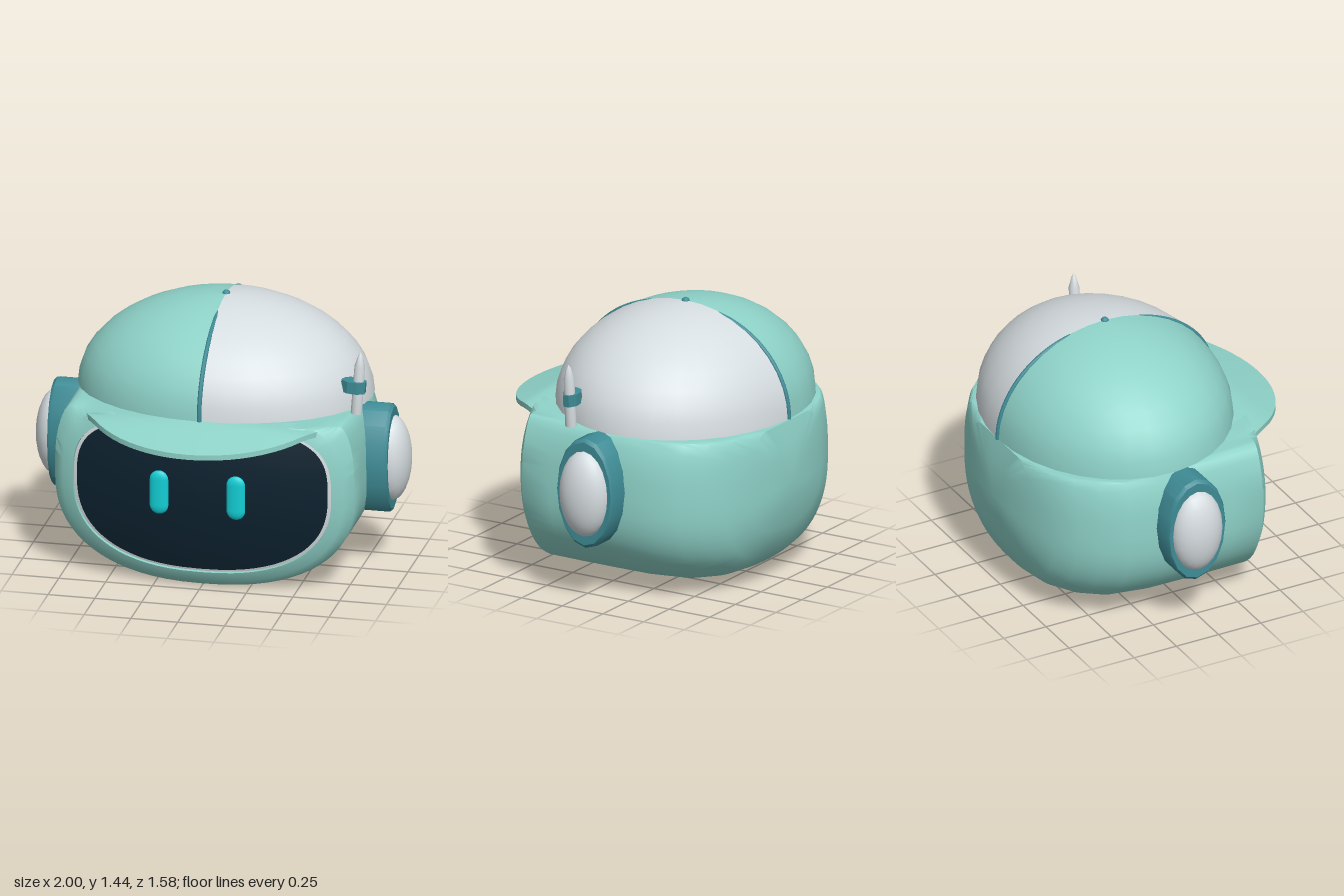
import * as THREE from 'three';
import { toCreasedNormals } from 'three/addons/utils/BufferGeometryUtils.js';

const material = (name, color, side = THREE.FrontSide) => {
  const m = new THREE.MeshStandardMaterial({ color, side });
  m.name = name;
  return m;
};

// Height of the cap's lower edge, and the bowed surface of the face
const rimY = (z) => 0.912 + 0.043 * z;
const faceZ = (x, y) => 0.54 - 0.245 * x * x - 0.33 * (y - 0.6) ** 2;

// Superellipse outline around y = 0.55 with separate lower and upper heights
function outline(a, rx, bottom, top) {
  const c = Math.cos(a), s = Math.sin(a);
  const n = s > 0 ? 3 : 2.5;
  const pow = (v) => Math.sign(v) * Math.abs(v) ** (2 / n);
  return [rx * pow(c), 0.55 + pow(s) * (s > 0 ? top : bottom)];
}

// Skin over rows of closed loops; f(i, j) gives a point
function loft(n, rows, f) {
  const pos = [], index = [];
  for (let j = 0; j < rows; j++) for (let i = 0; i < n; i++) pos.push(...f(i, j));
  for (let j = 0; j < rows - 1; j++) for (let i = 0; i < n; i++) {
    const k = (i + 1) % n, a = j * n + i, b = j * n + k, c = a + n, d = b + n;
    index.push(a, c, b, b, c, d);
  }
  const g = new THREE.BufferGeometry();
  g.setAttribute('position', new THREE.Float32BufferAttribute(pos, 3));
  g.setIndex(index);
  g.computeVertexNormals();
  return g;
}

export function createModel() {
  const model = new THREE.Group();
  model.name = 'robotHeadWithCap';
  const mint = material('mint', 0x8fd3c9, THREE.DoubleSide);
  const white = material('white', 0xd6dde0, THREE.DoubleSide);
  const teal = material('teal', 0x3f8c96);
  const dark = material('visorNavy', 0x0d2230);
  const cyan = material('eyeCyan', 0x12cfd6);

  const add = (name, geometry, mat, parent = model) => {
    const mesh = new THREE.Mesh(geometry, mat);
    mesh.name = name;
    parent.add(mesh);
    return mesh;
  };

  // Head shell: bowed rim rows (offset from the face), then rows at fixed z
  const N = 72;
  const rim = [
    [-0.03, 0.685, 0.46, 0.375], [0.015, 0.69, 0.465, 0.38],
    [0.012, 0.75, 0.515, 0.45], [-0.01, 0.8, 0.548, 0.6],
  ];
  const body = [
    [0.2, 0.8, 0.55, 0.6], [0, 0.8, 0.55, 0.6], [-0.2, 0.795, 0.55, 0.6],
    [-0.4, 0.76, 0.54, 0.58], [-0.52, 0.69, 0.515, 0.55], [-0.62, 0.6, 0.47, 0.5],
    [-0.69, 0.5, 0.41, 0.45], [-0.75, 0.34, 0.26, 0.35], [-0.78, 0.17, 0.12, 0.2],
    [-0.79, 0, 0, 0],
  ];
  const rows = [...rim, ...body];
  const head = loft(N, rows.length, (i, j) => {
    const [d, ...size] = rows[j];
    const [x, y] = outline((i / N) * Math.PI * 2, ...size);
    const z = j < rim.length ? faceZ(x, y) + d : d;
    return [x, Math.min(y, rimY(z) - 0.015), z];
  });
  add('headShell', toCreasedNormals(head, 0.9), mint);

  // Visor glass and its pale border, both on the bowed face
  const facePatch = (from, to, offset, steps) => loft(N, steps + 1, (i, j) => {
    const s = from + ((to - from) * j) / steps;
    const [x, y] = outline((i / N) * Math.PI * 2, 0.67 * s, 0.45 * s, 0.365 * s);
    return [x, y, faceZ(x, y) + offset];
  });
  add('visor', facePatch(0, 1, 0, 8), dark);
  add('visorBorder', facePatch(0.98, 1.035, -0.004, 1), white);

  // Eyes
  for (const side of [-1, 1]) {
    const eye = new THREE.CapsuleGeometry(0.05, 0.14, 6, 16).scale(1, 1, 0.42);
    add(side > 0 ? 'leftEye' : 'rightEye', eye, cyan).position.set(side * 0.205, 0.54, 0.543);
  }

  // Cap: two half domes with a sloping lower edge
  const cap = new THREE.Group();
  cap.name = 'cap';
  model.add(cap);
  const halfDome = (start) => {
    const g = new THREE.SphereGeometry(1, 16, 10, start, Math.PI, 0, Math.PI / 2);
    const p = g.attributes.position;
    for (let i = 0; i < p.count; i++) {
      const h = p.getY(i), z = -0.13 + 0.635 * p.getZ(i);
      const low = rimY(z);
      p.setXYZ(i, 0.78 * p.getX(i), low + h * (1.42 - low), z);
    }
    g.computeVertexNormals();
    return g;
  };
  add('capLeftHalf', halfDome(Math.PI / 2), white, cap);
  add('capRightHalf', halfDome(-Math.PI / 2), mint, cap);

  // Seam strips, sinking into the dome before they reach the button
  for (const side of [-1, 1]) {
    const points = [];
    for (let k = 0; k <= 10; k++) {
      const a = (k / 10) * 1.25, z = -0.13 + side * 0.635 * Math.cos(a);
      const low = rimY(z), sink = 0.012 * (k / 10) ** 3;
      points.push(new THREE.Vector3(0, low + Math.sin(a) * (1.42 - low) - sink, z));
    }
    const path = new THREE.CatmullRomCurve3(points);
    add(side > 0 ? 'frontSeam' : 'backSeam', new THREE.TubeGeometry(path, 24, 0.012, 8), teal, cap);
  }
  add('capButton', new THREE.SphereGeometry(0.022, 12, 8), teal, cap).position.set(0, 1.415, -0.13);

  // Brim: crescent between the dome and a wider arc, drooping forward
  const steps = 32, V = 6;
  const brim = loft(2 * (V + 1), steps + 1, (i, j) => {
    const u = (j / steps) * 2 - 1;
    const top = i <= V, v = top ? 1 - i / V : (i - V - 1) / V;
    const a = u * 1.29;
    const outX = 0.71 * Math.sin(a), outZ = 0.07 + 0.715 * Math.cos(a);
    const inX = outX * 0.97;
    const inZ = -0.13 + 0.62 * Math.sqrt(1 - (inX / 0.78) ** 2);
    const x = inX + (outX - inX) * v, z = inZ + (outZ - inZ) * v;
    const y = 0.937 - 0.3 * Math.max(0, z - 0.5) - 0.1 * x * x;
    return [x, top ? y : y - 0.028, z];
  });
  add('brim', toCreasedNormals(brim, 0.7), mint, cap);

  // Ears: oval hubs with pale domed covers
  for (const side of [-1, 1]) {
    const ear = new THREE.Group();
    ear.name = side > 0 ? 'leftEar' : 'rightEar';
    ear.position.set(side * 0.7, 0.6, -0.075);
    ear.rotation.z = -side * Math.PI / 2;
    model.add(ear);
    const profile = [[0.001, 0], [1, 0], [1, 0.19], [0.94, 0.207], [0.78, 0.207], [0.001, 0.2]];
    const hub = new THREE.LatheGeometry(profile.map(([r, h]) => new THREE.Vector2(r, h)), 16);
    hub.scale(0.3, 1, 0.175);
    add('earHub', toCreasedNormals(hub, 0.75), teal, ear);
    const cover = new THREE.SphereGeometry(1, 20, 8, 0, Math.PI * 2, 0, Math.PI / 2);
    cover.scale(0.235, 0.105, 0.145);
    add('earCover', cover, white, ear).position.y = 0.195;
  }

  // Antenna clipped to the left side of the cap
  const antenna = new THREE.Group();
  antenna.name = 'antenna';
  antenna.position.set(0.748, 0.9, 0.105);
  antenna.rotation.z = -0.07;
  model.add(antenna);
  const rod = [[0.001, 0], [0.03, 0], [0.028, 0.26], [0.012, 0.32], [0.001, 0.338]];
  const rodShape = new THREE.LatheGeometry(rod.map(([r, h]) => new THREE.Vector2(r, h)), 12);
  add('antennaRod', toCreasedNormals(rodShape, 0.6), white, antenna);
  const clip = new THREE.CylinderGeometry(0.06, 0.06, 0.064, 8).rotateY(Math.PI / 8).scale(1.15, 1, 0.75);
  add('antennaClip', toCreasedNormals(clip, 0.4), teal, antenna).position.set(-0.025, 0.148, 0);

  return model;
}
